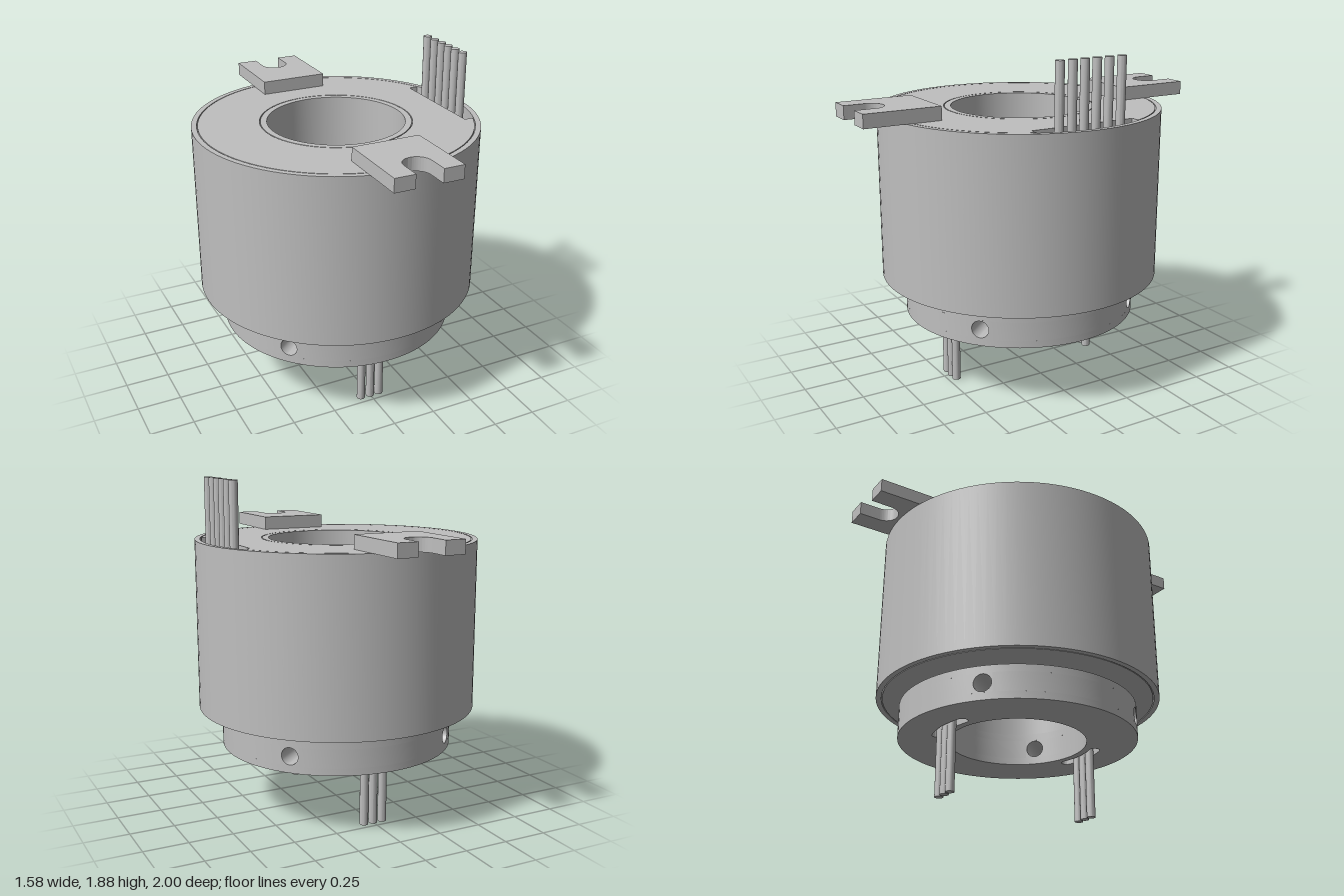
import * as THREE from 'three';
import { toCreasedNormals } from 'three/addons/utils/BufferGeometryUtils.js';

const BORE = 0.38, COLLAR = 0.66, HOLE_Y = 0.4575, BAND = 0.0525, HOLE_R = 0.048;

export function createModel() {
  const model = new THREE.Group();
  model.name = 'slipRing';
  const grey = new THREE.MeshStandardMaterial({ color: 0xbfbfbf });
  grey.name = 'grey';

  function add(name, geometry, parent = model) {
    const mesh = new THREE.Mesh(toCreasedNormals(geometry, 0.5), grey);
    mesh.name = name;
    parent.add(mesh);
    return mesh;
  }
  const lathe = (pts, start = 0, length = Math.PI * 2, segments = 96) =>
    new THREE.LatheGeometry(pts.map(p => new THREE.Vector2(...p)), segments, start, length);

  // Extrude a plan shape upward from height y
  function slab(shape, y, depth) {
    const g = new THREE.ExtrudeGeometry(shape, { depth, bevelEnabled: false, curveSegments: 48 });
    return g.rotateX(-Math.PI / 2).translate(0, y, 0);
  }
  const circle = r => new THREE.Path().absarc(0, 0, r, 0, Math.PI * 2, false);

  function wire(name, x, z, y0, y1) {
    const g = new THREE.CylinderGeometry(0.024, 0.024, y1 - y0, 20);
    add(name, g.translate(x, (y0 + y1) / 2, z));
  }

  // Housing, inner sleeve and neck with fine joint grooves
  add('housing', lathe([
    [0.505, 0.55], [0.505, 0.59], [0.755, 0.59], [0.755, 0.61], [0.76, 0.61], [0.76, 0.59],
    [0.79, 0.59], [0.79, 1.545], [0.76, 1.545], [0.76, 1.43], [0.415, 1.43], [0.415, 1.545],
    [BORE, 1.545], [BORE, 0.55],
  ]));

  // Top cover, notched on one side for the wires
  const cover = new THREE.Shape();
  const notch = Math.asin(0.305 / 0.755);
  cover.absarc(0, 0, 0.755, notch, Math.PI * 2 - notch, false);
  cover.lineTo(0.64, -0.305);
  cover.lineTo(0.64, 0.305);
  cover.closePath();
  cover.holes.push(circle(0.42));
  add('topCover', slab(cover, 1.43, 0.115));

  // Upper wires
  for (const z of [-0.195, -0.118, -0.044, 0.028, 0.1, 0.175]) wire('upperWire', 0.685, z, 1.43, 1.885);

  // Forked mounting tabs, front and back
  const fork = new THREE.Shape();
  fork.moveTo(-0.19, 0.57);
  fork.lineTo(0.19, 0.57);
  fork.lineTo(0.19, 1);
  fork.lineTo(0.075, 1);
  fork.lineTo(0.075, 0.885);
  fork.absarc(0, 0.885, 0.075, 0, Math.PI, true);
  fork.lineTo(-0.075, 1);
  fork.lineTo(-0.19, 1);
  fork.closePath();
  for (const turn of [0, Math.PI]) add('mountingTab', slab(fork, 1.545, 0.075)).rotation.y = turn;

  // Collar base with two curved wire slots
  const base = new THREE.Shape();
  base.absarc(0, 0, COLLAR, 0, Math.PI * 2, false);
  base.holes.push(circle(BORE));
  for (const mid of [Math.PI / 2, -Math.PI / 2]) {
    const a = mid - 0.3, b = mid + 0.3, r = 0.45, w = 0.03;
    const slot = new THREE.Path();
    slot.absarc(0, 0, r + w, a, b, false);
    slot.absarc(r * Math.cos(b), r * Math.sin(b), w, b, b + Math.PI, false);
    slot.absarc(0, 0, r - w, b, a, true);
    slot.absarc(r * Math.cos(a), r * Math.sin(a), w, a + Math.PI, a + Math.PI * 2, false);
    base.holes.push(slot);
  }
  add('collarBase', slab(base, 0.365, 0.04));
  add('slotFloor', lathe([[BORE, 0.405], [COLLAR, 0.405]]));
  add('collarTop', lathe([[COLLAR, 0.51], [COLLAR, 0.55], [BORE, 0.55], [BORE, 0.51]]));

  // Collar middle band: four drilled patches joined by plain arcs
  const N = 32;
  const rows = [[COLLAR, true], [COLLAR, false], [BORE, false], [BORE, true]];
  function drilledPatch() {
    const pos = [], index = [];
    for (const [radius, square] of rows) {
      for (let i = 0; i < N; i++) {
        const c = Math.cos(i / N * Math.PI * 2), s = Math.sin(i / N * Math.PI * 2);
        const k = square ? BAND / Math.max(Math.abs(c), Math.abs(s)) : HOLE_R;
        pos.push(k * c, HOLE_Y + k * s, Math.sqrt(radius ** 2 - (k * c) ** 2));
      }
    }
    for (let r = 0; r < 3; r++) {
      for (let i = 0; i < N; i++) {
        const a = r * N + i, b = r * N + (i + 1) % N;
        index.push(a, b, b + N, a, b + N, a + N);
      }
    }
    const g = new THREE.BufferGeometry();
    g.setAttribute('position', new THREE.Float32BufferAttribute(pos, 3));
    g.setIndex(index);
    return g;
  }
  const band = new THREE.Group();
  band.name = 'collarBand';
  model.add(band);
  const low = HOLE_Y - BAND, high = HOLE_Y + BAND;
  for (let q = 0; q < 4; q++) {
    const angle = 0.721 + q * Math.PI / 2;
    add('screwHole', drilledPatch(), band).rotation.y = angle;
    for (const [name, r, y0, y1] of [['outerWall', COLLAR, low, high], ['innerWall', BORE, high, low]]) {
      const d = Math.asin(BAND / r);
      add(name, lathe([[r, y0], [r, y1]], angle + d, Math.PI / 2 - 2 * d, 22), band);
    }
  }

  // Lower wires
  for (const z of [-0.45, 0.45]) {
    for (const x of [-0.058, 0, 0.056]) wire('lowerWire', x, z, 0, 0.405);
  }
  return model;
}
